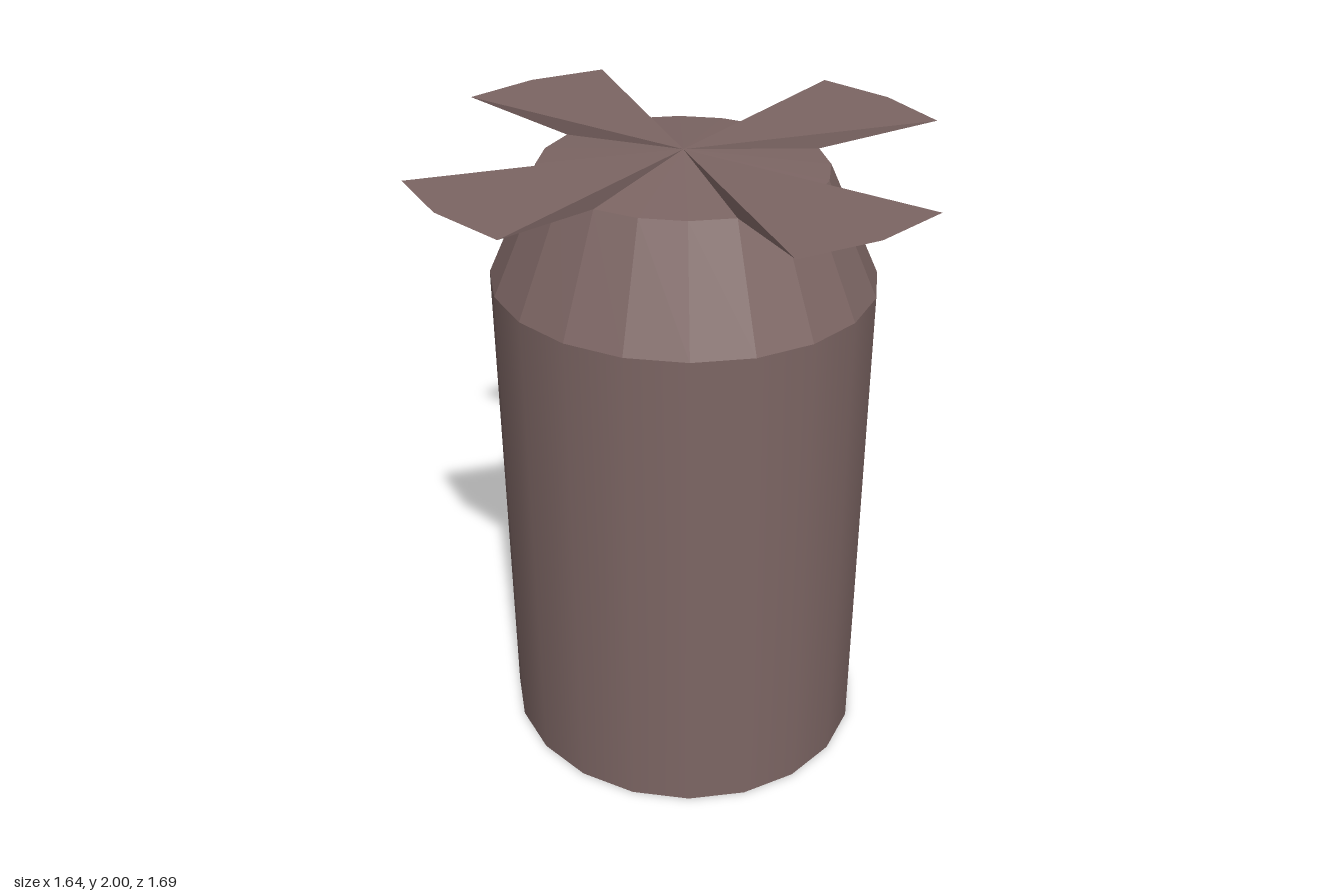
import * as THREE from 'three';

const SIDES = 20, STEP = (Math.PI * 2) / SIDES;
const CENTRE = [0, 2, 0];

// Point on one of the slightly oval rings, at side number i
const ringPoint = (rx, rz, y) => (i) => [rx * Math.cos(i * STEP), y, rz * Math.sin(i * STEP)];
const shoulder = ringPoint(0.585, 0.607, 1.61);
const neck = ringPoint(0.43, 0.445, 1.955);
const rim = ringPoint(0.82, 0.843, 2);

// Flat-faced geometry from polygons, each fanned into triangles
function facets(polygons) {
  const pos = [];
  for (const p of polygons)
    for (let k = 1; k < p.length - 1; k++) pos.push(...p[0], ...p[k], ...p[k + 1]);
  const g = new THREE.BufferGeometry();
  g.setAttribute('position', new THREE.Float32BufferAttribute(pos, 3));
  g.computeVertexNormals();
  return g;
}

export function createModel() {
  const group = new THREE.Group();
  const material = new THREE.MeshStandardMaterial({ color: 0x7d6664 });
  const add = (name, geometry) => {
    const mesh = new THREE.Mesh(geometry, material);
    mesh.name = name;
    group.add(mesh);
  };

  // Smooth oval body wall, with a vertex on each axis
  const body = new THREE.CylinderGeometry(1, 1, 1.61, SIDES, 1, true);
  body.scale(0.585, 1, 0.607);
  body.translate(0, 0.805, 0);
  add('body', body);

  // Closed bottom
  const base = new THREE.CircleGeometry(1, SIDES);
  base.rotateX(Math.PI / 2);
  base.scale(0.585, 1, 0.607);
  add('base', base);

  // Faceted shoulder narrowing to the neck
  const cone = [];
  for (let i = 0; i < SIDES; i++)
    cone.push([shoulder(i), neck(i), neck(i + 1), shoulder(i + 1)]);
  add('shoulder', facets(cone));

  // Shallow lid between the blades, rising to the centre
  const lid = [];
  for (let q = 0; q < SIDES; q += 5)
    for (let i = q + 1; i < q + 4; i++) lid.push([CENTRE, neck(i + 1), neck(i)]);
  add('lid', facets(lid));

  // Four wedge blades: flat top, sloping underside, thin sides and open tip edge
  for (let q = 0; q < SIDES; q += 5) {
    const faces = [
      [CENTRE, rim(q - 1), neck(q - 1)],
      [CENTRE, neck(q + 1), rim(q + 1)],
    ];
    for (const i of [q - 1, q]) {
      faces.push([CENTRE, rim(i + 1), rim(i)]);
      faces.push([neck(i), rim(i), rim(i + 1), neck(i + 1)]);
    }
    add('blade', facets(faces));
  }
  return group;
}
